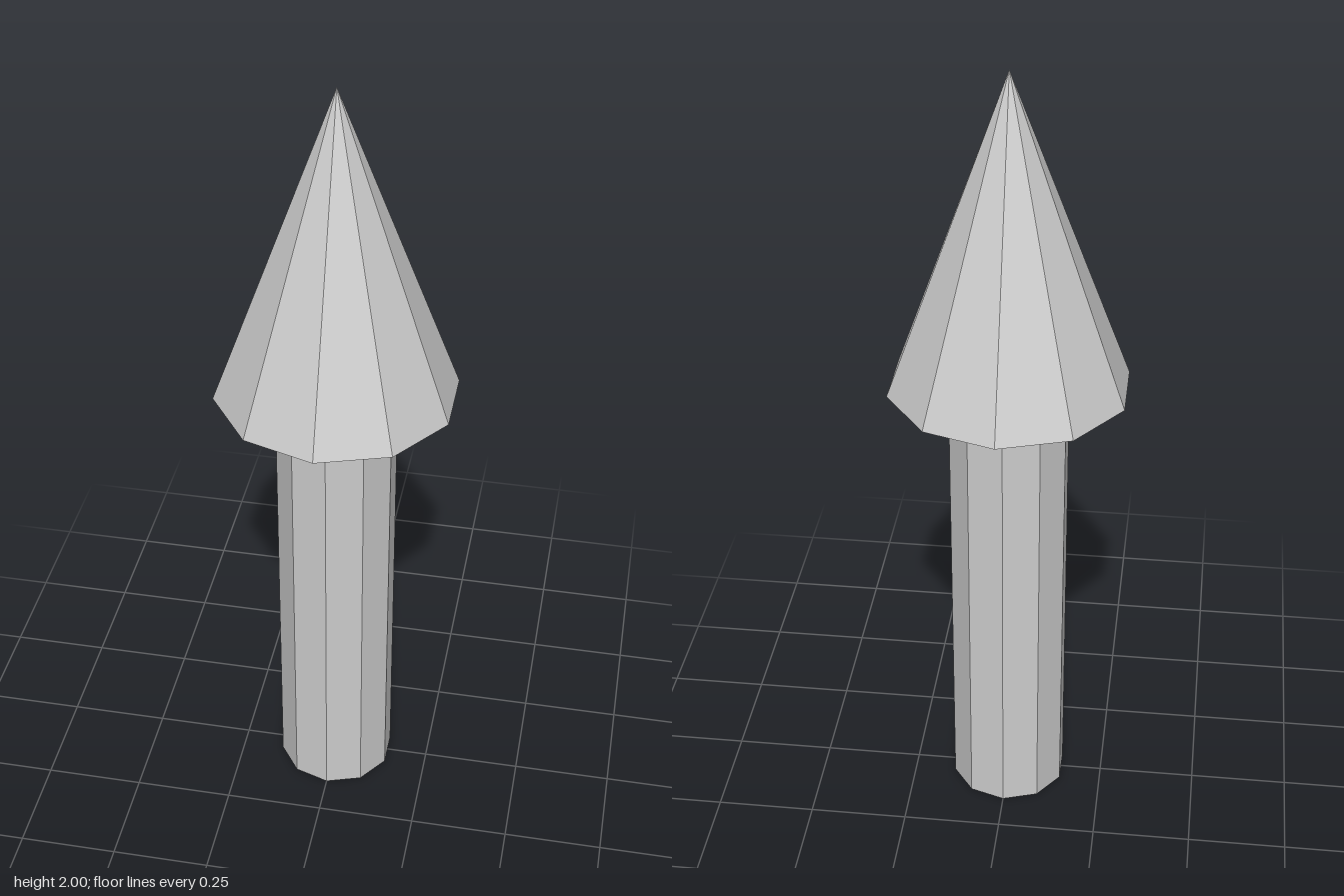
import * as THREE from 'three';

const SIDES = 10;
const SHAFT_HEIGHT = 1.2;
const HEAD_HEIGHT = 0.8;

export function createModel() {
  const group = new THREE.Group();
  group.name = 'arrow';
  const material = new THREE.MeshStandardMaterial({ color: 0xcccccc, flatShading: true });

  // Places a part with its underside at the given height
  const addPart = (name, geometry, height, bottom) => {
    const mesh = new THREE.Mesh(geometry, material);
    mesh.name = name;
    mesh.position.y = bottom + height / 2;
    group.add(mesh);
  };

  // Ten-sided straight shaft
  addPart('shaft', new THREE.CylinderGeometry(0.15, 0.15, SHAFT_HEIGHT, SIDES), SHAFT_HEIGHT, 0);

  // Ten-sided pointed head with a flat underside
  addPart('head', new THREE.ConeGeometry(0.3, HEAD_HEIGHT, SIDES), HEAD_HEIGHT, SHAFT_HEIGHT);

  return group;
}
